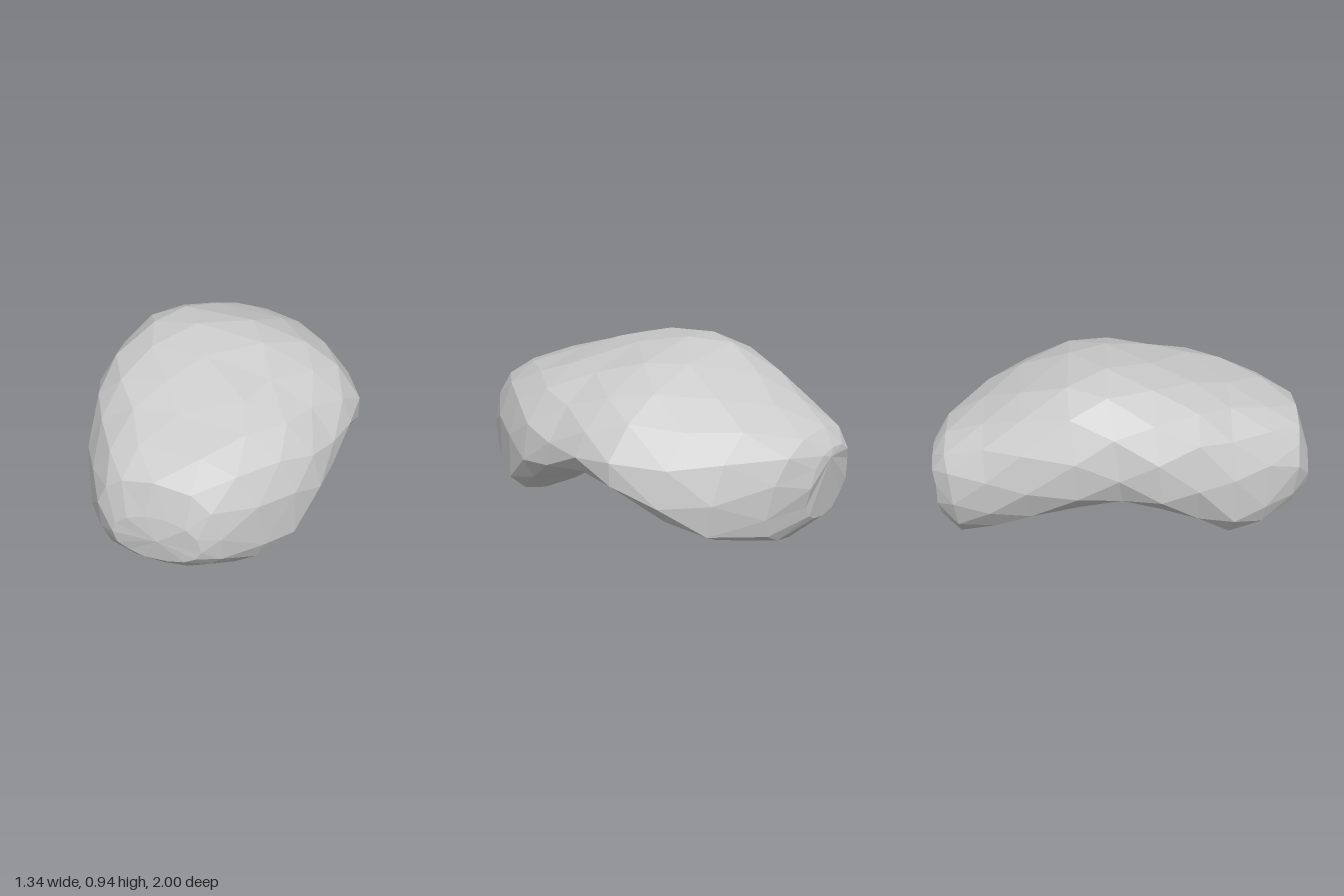
import * as THREE from 'three';

const SIDES = 14;

// Rings along the arched body, front to back:
// [outer z, outer y, inner z, inner y, min x, max x,
//  height of the widest point at -x and +x, taper to +x, top roundness at -x and +x]
const RINGS = [
  [0.98, 0.46, 0.98, 0.2, -0.28, 0.18, 0.32, 0.3, 0, 0.9, 0.9],
  [0.93, 0.63, 0.89, 0.11, -0.39, 0.27, 0.32, 0.26, 0, 0.75, 0.8],
  [0.76, 0.71, 0.72, 0.02, -0.5, 0.43, 0.27, 0.22, 0.02, 0.7, 0.72],
  [0.55, 0.78, 0.56, 0, -0.59, 0.55, 0.32, 0.26, 0.05, 0.68, 0.72],
  [0.37, 0.84, 0.38, 0.12, -0.64, 0.62, 0.42, 0.36, 0.12, 0.68, 0.8],
  [0.15, 0.89, 0.2, 0.23, -0.68, 0.65, 0.49, 0.44, 0.18, 0.74, 0.92],
  [-0.08, 0.92, 0, 0.28, -0.66, 0.67, 0.52, 0.5, 0.21, 0.78, 0.95],
  [-0.28, 0.9, -0.22, 0.23, -0.65, 0.68, 0.5, 0.46, 0.2, 0.76, 0.92],
  [-0.53, 0.81, -0.47, 0.15, -0.62, 0.59, 0.43, 0.3, 0.12, 0.76, 0.85],
  [-0.72, 0.72, -0.67, 0.06, -0.57, 0.44, 0.38, 0.2, 0.06, 0.76, 0.82],
  [-0.92, 0.61, -0.85, 0.02, -0.51, 0.19, 0.34, 0.2, 0.03, 0.78, 0.82],
  [-0.99, 0.52, -0.95, 0.12, -0.43, -0.04, 0.34, 0.27, 0, 0.85, 0.85],
];

// Small seeded generator for the uneven facets
function seeded(seed) {
  return () => {
    seed = (seed * 16807) % 2147483647;
    return seed / 2147483647 - 0.5;
  };
}

const lerp = THREE.MathUtils.lerp;
const soften = (v, power) => Math.sign(v) * Math.pow(Math.abs(v), power);

function bodyGeometry() {
  const rand = seeded(77);
  const pos = [];
  const index = [];

  RINGS.forEach(([zo, yo, zi, yi, x0, x1, wideR, wideL, taper, roundR, roundL], i) => {
    const cx = (x0 + x1) / 2, hx = (x1 - x0) / 2;
    for (let j = 0; j < SIDES; j++) {
      // odd rings are turned by half a step, with a little irregularity
      const t = ((j + (i % 2) * 0.5 + rand() * 0.2) / SIDES) * Math.PI * 2;
      const topPower = Math.cos(t) < 0 ? roundR : roundL;
      const power = Math.sin(t) > 0 ? topPower : 0.92;
      const c = soften(Math.cos(t), power), s = soften(Math.sin(t), power);
      const wide = lerp(wideR, wideL, (c + 1) / 2);
      const reach = s > 0 ? yo - wide : wide - yi;
      const y = wide + s * reach * (1 - taper * c);
      const k = (y - yi) / (yo - yi);
      pos.push(cx + hx * c, y, lerp(zi, zo, k) + rand() * 0.02 * Math.abs(c));
    }
  });

  // Skin between neighbouring rings
  for (let i = 0; i < RINGS.length - 1; i++) {
    for (let j = 0; j < SIDES; j++) {
      const n = (j + 1) % SIDES;
      const a = i * SIDES + j, b = i * SIDES + n;
      const c = a + SIDES, d = b + SIDES;
      if (i % 2) index.push(a, d, b, a, c, d);
      else index.push(a, c, b, b, c, d);
    }
  }

  // Blunt end caps
  const front = pos.length / 3;
  pos.push(-0.04, 0.33, 1);
  const back = front + 1;
  pos.push(-0.2, 0.48, -1);
  const last = (RINGS.length - 1) * SIDES;
  for (let j = 0; j < SIDES; j++) {
    const n = (j + 1) % SIDES;
    index.push(front, j, n, back, last + n, last + j);
  }

  const geometry = new THREE.BufferGeometry();
  geometry.setAttribute('position', new THREE.Float32BufferAttribute(pos, 3));
  geometry.setIndex(index);
  geometry.computeVertexNormals();
  return geometry;
}

export function createModel() {
  const group = new THREE.Group();
  group.name = 'archedRock';
  const rock = new THREE.Mesh(
    bodyGeometry(),
    new THREE.MeshStandardMaterial({ color: 0xcccccc, flatShading: true })
  );
  rock.name = 'rockBody';
  group.add(rock);
  return group;
}
